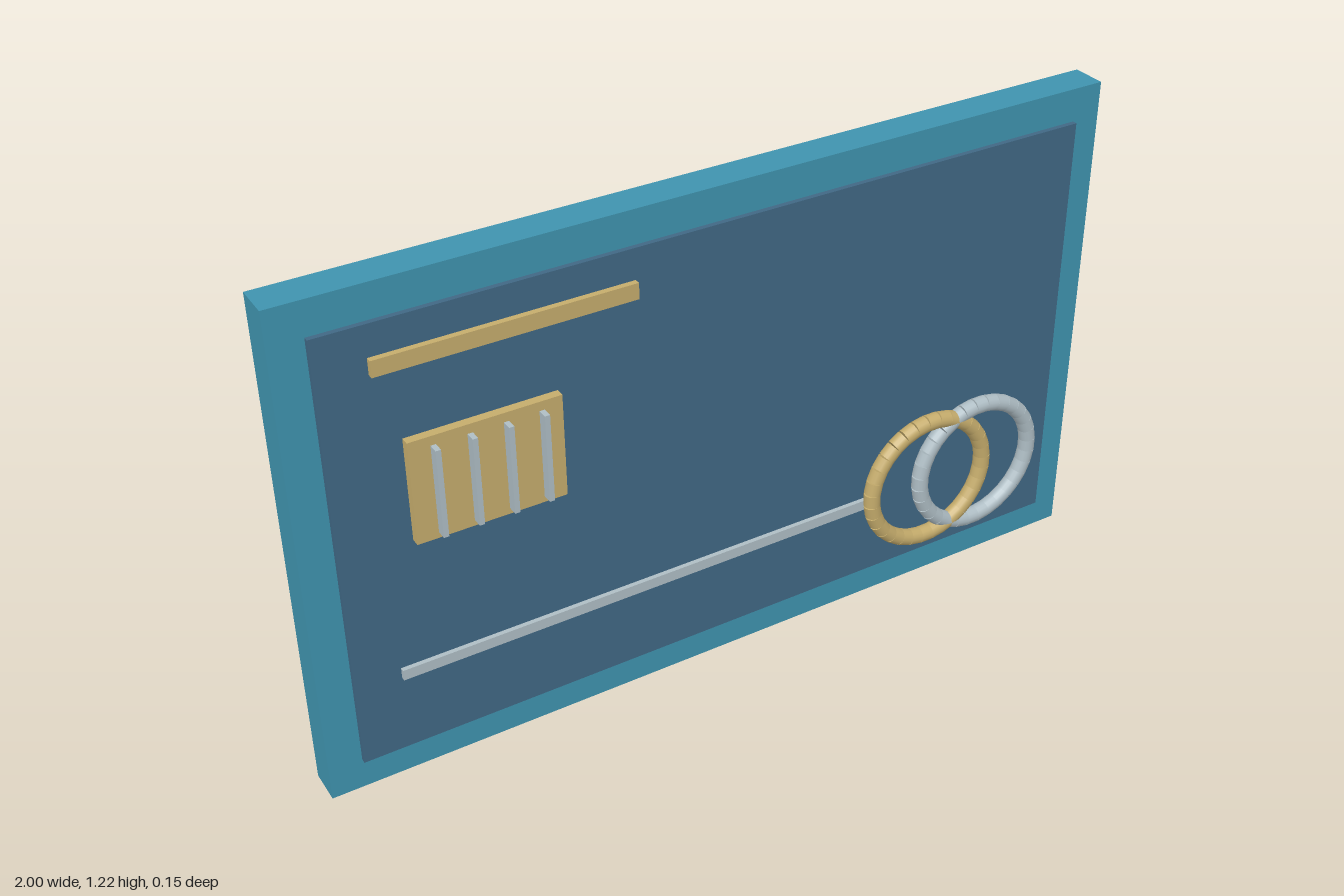
import * as THREE from 'three';

const material = (name, color) => {
  const m = new THREE.MeshStandardMaterial({ color });
  m.name = name;
  return m;
};

export function createModel() {
  const group = new THREE.Group();
  const teal = material('teal', 0x3f93ae);
  const navy = material('slate blue', 0x406784);
  const gold = material('gold', 0xc5ac6c);
  const silver = material('silver', 0xaebdc4);

  // Box given by its limits on each axis
  const slab = (name, mat, [x0, x1], [y0, y1], [z0, z1]) => {
    const mesh = new THREE.Mesh(new THREE.BoxGeometry(x1 - x0, y1 - y0, z1 - z0), mat);
    mesh.position.set((x0 + x1) / 2, (y0 + y1) / 2, (z0 + z1) / 2);
    mesh.name = name;
    group.add(mesh);
  };

  // Card body and raised face panel
  slab('cardBody', teal, [-1, 1], [0, 1.215], [-0.073, 0.011]);
  slab('facePanel', navy, [-0.924, 0.924], [0.08, 1.137], [0.015, 0.027]);

  // Raised bars
  slab('titleBar', gold, [-0.813, -0.227], [1.027, 1.065], [0.029, 0.043]);
  slab('lowerBar', silver, [-0.818, 0.415], [0.274, 0.3], [0.029, 0.04]);

  // Chip with four upright contacts
  slab('chip', gold, [-0.76, -0.416], [0.615, 0.863], [0.029, 0.05]);
  for (let i = 0; i < 4; i++) {
    const x = -0.705 + i * 0.0805;
    slab('chipContact', silver, [x - 0.006, x + 0.006], [0.629, 0.841], [0.05, 0.074]);
  }

  // Interlocked rings made of short straight rods laid end to end
  const COUNT = 32, RADIUS = 0.163, TUBE = 0.0205;
  const rod = new THREE.CylinderGeometry(TUBE, TUBE, (2 * Math.PI * RADIUS) / COUNT, 16);
  const addRing = (name, mat, x) => {
    const ring = new THREE.Group();
    ring.name = name;
    ring.position.set(x, 0.303, 0.0465);
    for (let i = 0; i < COUNT; i++) {
      const a = (i / COUNT) * Math.PI * 2;
      const mesh = new THREE.Mesh(rod, mat);
      mesh.name = 'ringSegment';
      mesh.position.set(Math.cos(a) * RADIUS, Math.sin(a) * RADIUS, 0);
      mesh.rotation.z = a;
      ring.add(mesh);
    }
    group.add(ring);
  };
  addRing('goldRing', gold, 0.549);
  addRing('silverRing', silver, 0.69);

  return group;
}
